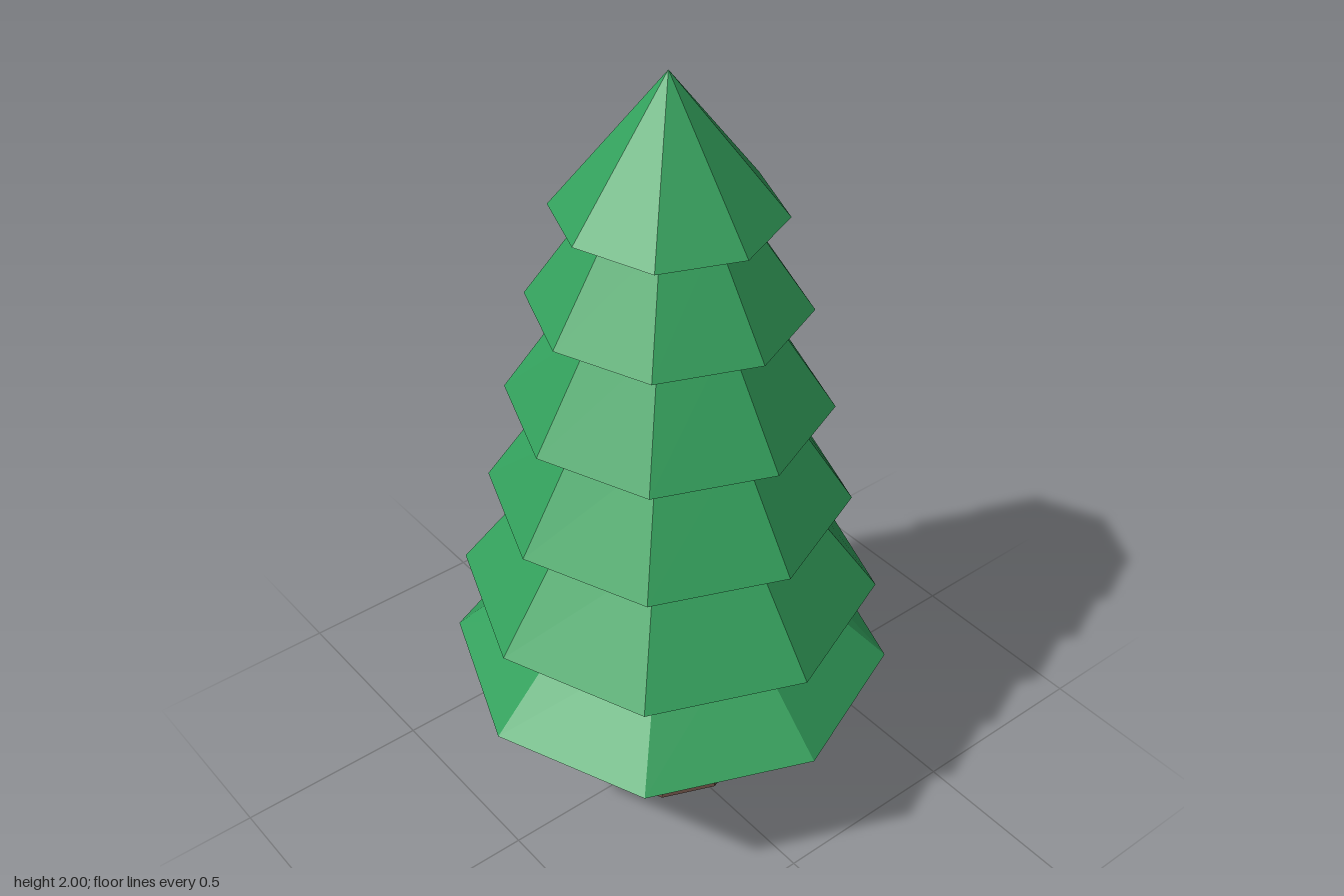
import * as THREE from 'three';

const SIDES = 8;

export function createModel() {
  const tree = new THREE.Group();
  tree.name = 'pineTree';

  const leaf = new THREE.MeshStandardMaterial({ color: 0x33a05c, flatShading: true });
  leaf.name = 'leafGreen';
  const bark = new THREE.MeshStandardMaterial({ color: 0x6d5146, flatShading: true });
  bark.name = 'barkBrown';

  // Trunk: tapered octagon, slightly off centre
  const trunk = new THREE.Mesh(new THREE.CylinderGeometry(0.073, 0.19, 0.43, SIDES), bark);
  trunk.name = 'trunk';
  trunk.position.set(0.0125, 0.215, -0.0165);
  tree.add(trunk);

  // Foliage tiers: bottom height, bottom radius, top height, top radius, droop of side tips
  const tiers = [
    [0.413, 0.549, 0.655, 0.292, 0.011],
    [0.643, 0.514, 0.925, 0.302, 0.004],
    [0.912, 0.440, 1.19, 0.255, 0.004],
    [1.176, 0.387, 1.45, 0.207, 0.002],
    [1.437, 0.328, 1.68, 0.162, 0],
    [1.669, 0.266, 2.0, 0, -0.005],
  ];

  tiers.forEach(([y0, r0, y1, r1, droop], i) => {
    const geo = new THREE.CylinderGeometry(r1, r0, y1 - y0, SIDES);
    geo.translate(0, (y1 - y0) / 2, 0);
    // Pull in and lower the tips that point left and right
    const p = geo.attributes.position;
    for (let v = 0; v < p.count; v++) {
      if (p.getY(v) < 1e-6 && Math.abs(p.getX(v)) > r0 * 0.9) {
        p.setX(v, p.getX(v) * 0.975);
        p.setY(v, -droop);
      }
    }
    geo.computeVertexNormals();
    const tier = new THREE.Mesh(geo, leaf);
    tier.name = `foliageTier${i + 1}`;
    tier.position.set(0, y0, i === 0 ? -0.001 : -0.006);
    tree.add(tier);
  });

  return tree;
}
